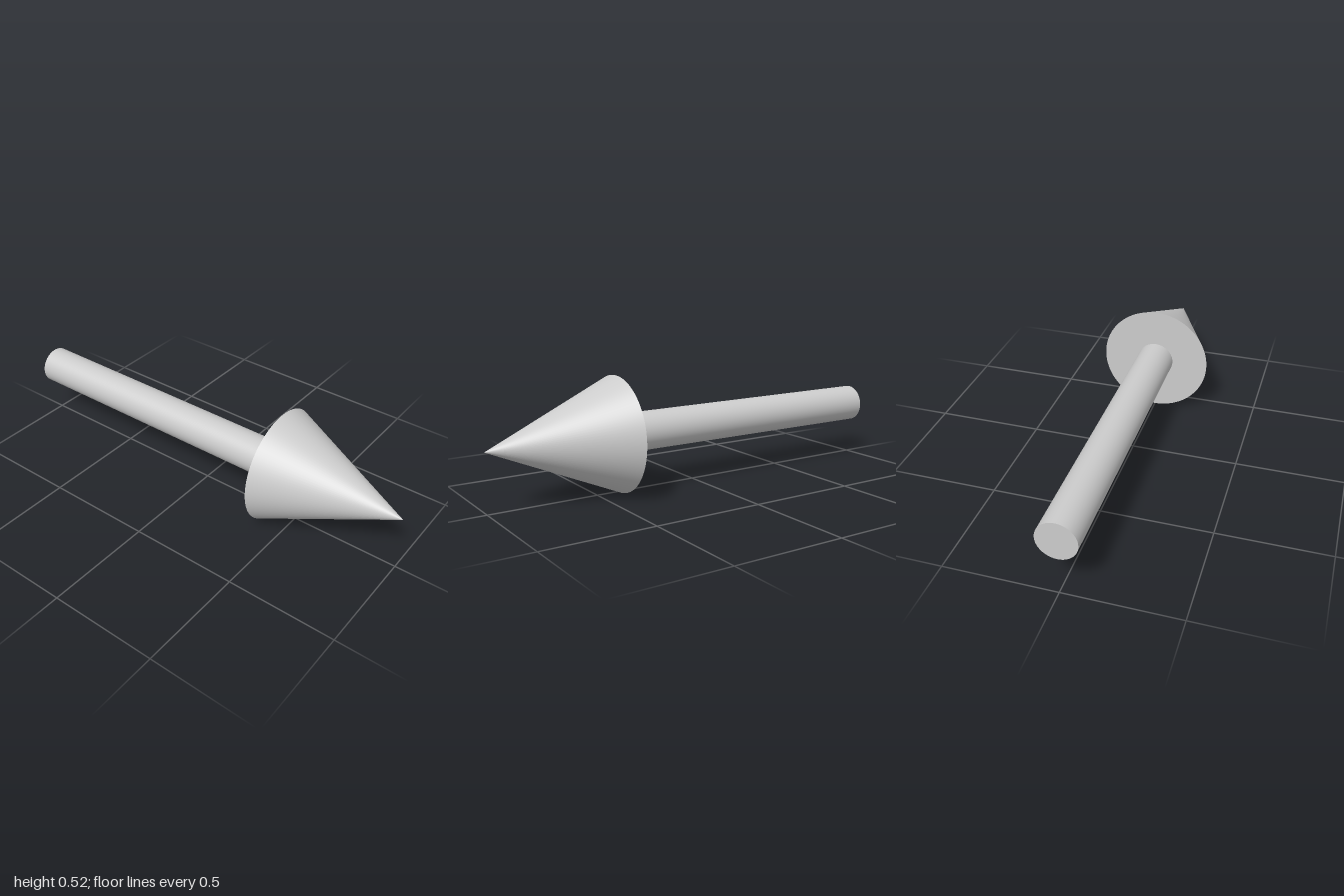
import * as THREE from 'three';

const HEAD_RADIUS = 0.261;
const SHAFT_RADIUS = 0.0875;
const HEAD_BASE = 0.398; // z where the head meets the shaft
const SEGMENTS = 96;

export function createModel() {
  const model = new THREE.Group();
  model.name = 'arrow';
  const material = new THREE.MeshStandardMaterial({ color: 0xcccccc });

  // Place a y-axis solid along z, spanning from z0 to z1
  const addPart = (name, geometry, z0, z1) => {
    geometry.rotateX(Math.PI / 2);
    const mesh = new THREE.Mesh(geometry, material);
    mesh.name = name;
    mesh.position.set(0, HEAD_RADIUS, (z0 + z1) / 2);
    model.add(mesh);
  };

  // Pointed head with a flat back
  addPart('arrowHead', new THREE.ConeGeometry(HEAD_RADIUS, 1 - HEAD_BASE, SEGMENTS), HEAD_BASE, 1);

  // Straight round shaft
  addPart('shaft', new THREE.CylinderGeometry(SHAFT_RADIUS, SHAFT_RADIUS, HEAD_BASE + 1, SEGMENTS), -1, HEAD_BASE);

  return model;
}
